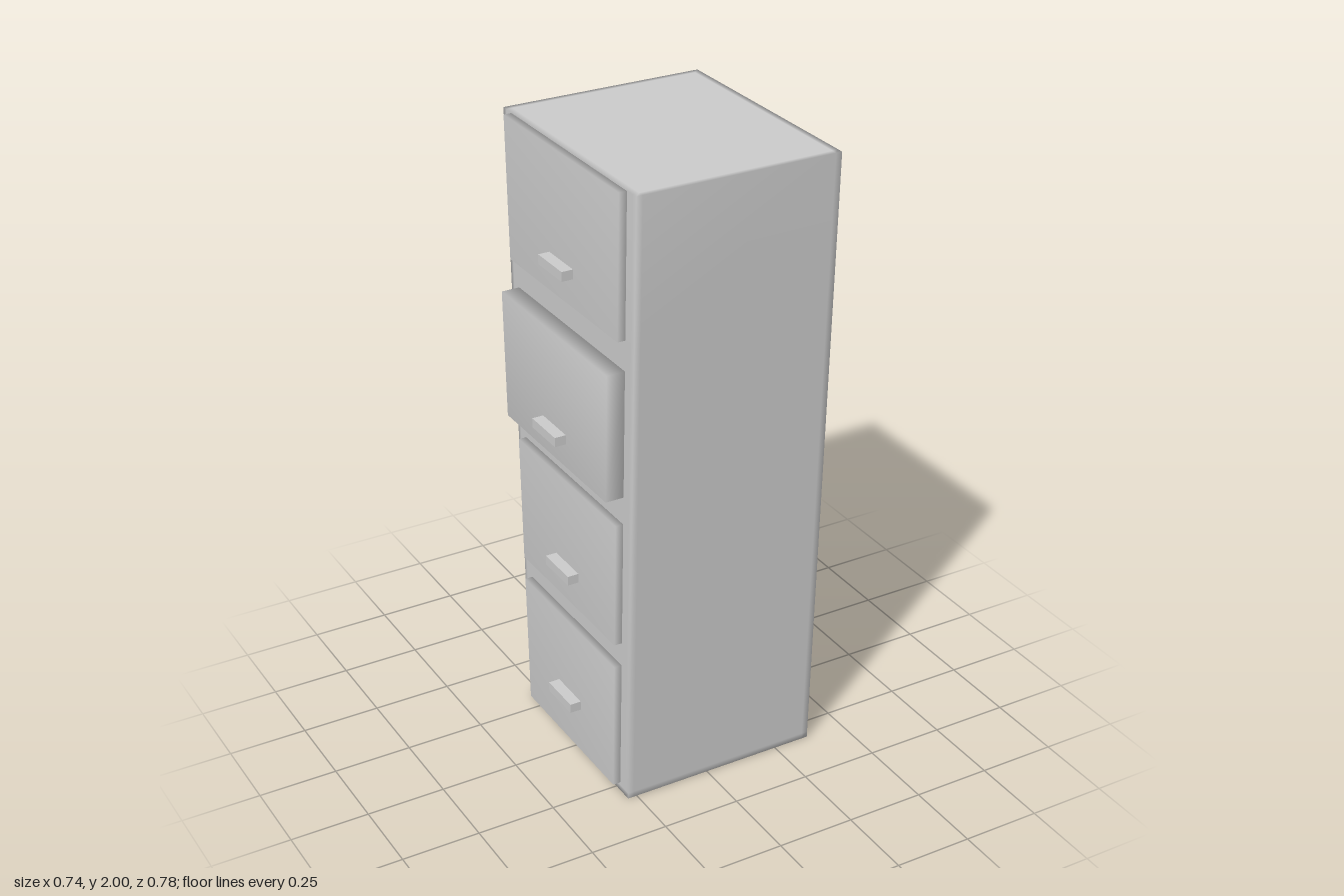
import * as THREE from 'three';
import { mergeVertices } from 'three/addons/utils/BufferGeometryUtils.js';

const FRONT = -0.28; // x of the cabinet face that holds the drawers
const BACK = 0.37;

// Half width of the cabinet at height y: it widens towards the top
const halfWidth = (y) => 0.324 + 0.0325 * y;

// Box with grid lines at chosen x, y and across-width stops (-1..1), tapered
// with the cabinet and inset by a margin; shared corners give soft shading
function taperedBox(xs, ys, zs, margin) {
  const [nx, ny, nz] = [xs, ys, zs].map((s) => s.length - 1);
  let g = new THREE.BoxGeometry(nx, ny, nz, nx, ny, nz);
  const p = g.attributes.position;
  for (let i = 0; i < p.count; i++) {
    const x = xs[Math.round(p.getX(i) + nx / 2)];
    const y = ys[Math.round(p.getY(i) + ny / 2)];
    const z = zs[Math.round(p.getZ(i) + nz / 2)];
    p.setXYZ(i, x, y, z * (halfWidth(y) - margin));
  }
  g.deleteAttribute('normal');
  g.deleteAttribute('uv');
  g = mergeVertices(g);
  g.computeVertexNormals();
  return g;
}

export function createModel() {
  const model = new THREE.Group();
  model.name = 'filingCabinet';
  const material = new THREE.MeshStandardMaterial({ color: 0xcccccc });

  const add = (geometry, name, parent) => {
    const mesh = new THREE.Mesh(geometry, material);
    mesh.name = name;
    parent.add(mesh);
    return mesh;
  };

  // Cabinet body, with tight grid lines near its edges
  add(taperedBox(
    [FRONT, FRONT + 0.02, BACK - 0.02, BACK],
    [0, 0.02, 1.55, 2],
    [-1, -0.95, 0.95, 1], 0), 'cabinetBody', model);

  // Drawers from bottom to top; the third is pulled out a little
  const drawers = [
    { bottom: 0.03, top: 0.467, face: -0.305, handleY: 0.2 },
    { bottom: 0.547, top: 0.96, face: -0.305, handleY: 0.662 },
    { bottom: 1.05, top: 1.457, face: -0.338, handleY: 1.142 },
    { bottom: 1.553, top: 1.998, face: -0.305, handleY: 1.658 },
  ];
  drawers.forEach(({ bottom, top, face, handleY }, i) => {
    const drawer = new THREE.Group();
    drawer.name = `drawer${i + 1}`;
    model.add(drawer);
    add(taperedBox([face, FRONT + 0.005], [bottom, top], [-1, 1], 0.05), 'drawerFront', drawer);
    const handle = add(new THREE.BoxGeometry(0.04, 0.03, 0.142), 'drawerHandle', drawer);
    handle.position.set(face - 0.016, handleY, 0);
  });

  return model;
}
